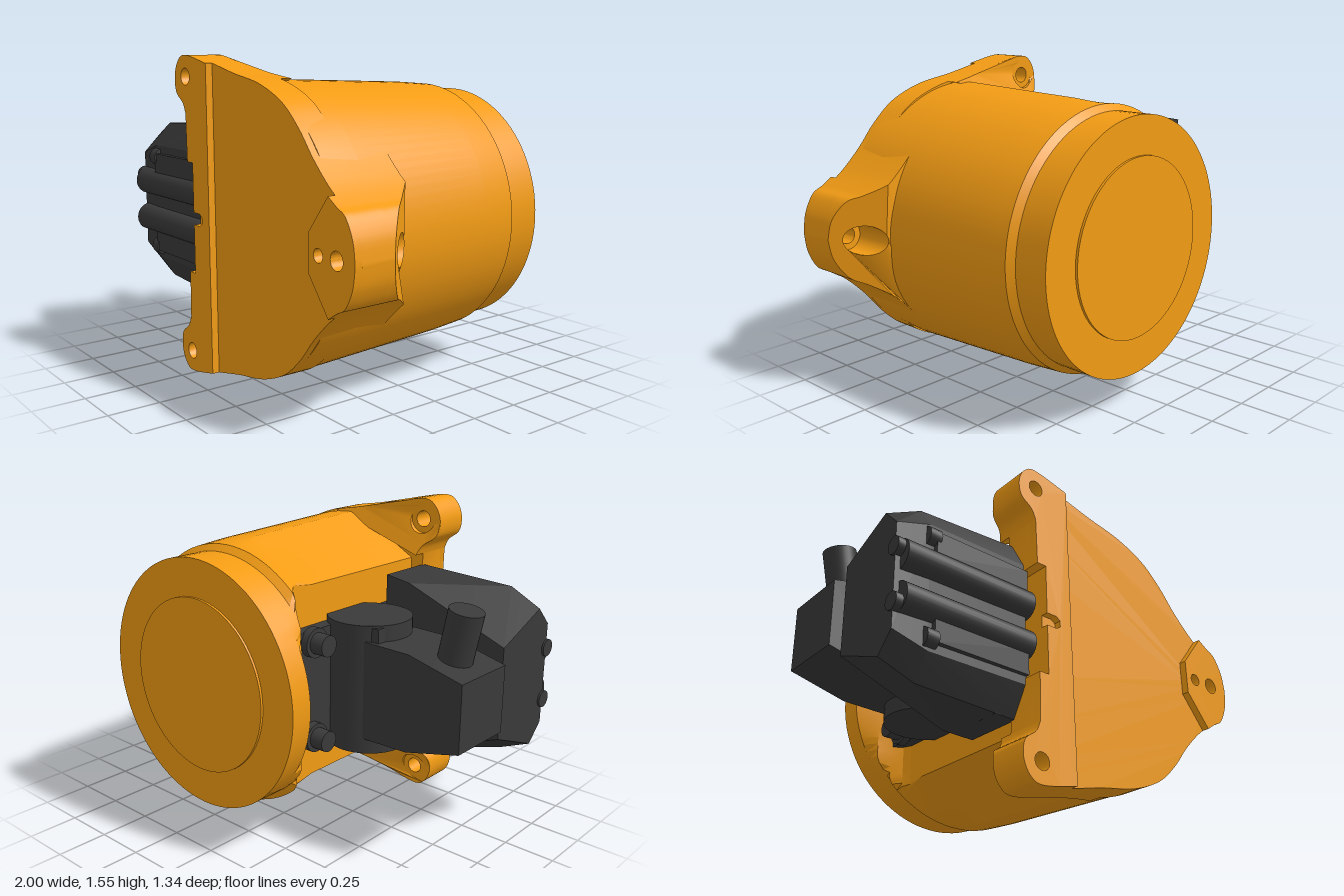
import * as THREE from 'three';
import { toCreasedNormals } from 'three/addons/utils/BufferGeometryUtils.js';
import { ConvexGeometry } from 'three/addons/geometries/ConvexGeometry.js';

const CX = 0.14, CY = 0.78; // drum axis, along z
const V = (p) => new THREE.Vector2(p[0], p[1]);
const mirrorY = ([x, y, ...z]) => [x, 2 * CY - y, ...z];

export function createModel() {
  const group = new THREE.Group();
  const orange = new THREE.MeshStandardMaterial({ color: 0xf39c14 });
  const dark = new THREE.MeshStandardMaterial({ color: 0x3a3a3a });

  const add = (name, geo, mat, crease = 0.5) => {
    const mesh = new THREE.Mesh(toCreasedNormals(geo, crease), mat);
    mesh.name = name;
    group.add(mesh);
  };

  // Outline extruded along z, with round holes [x, y, r] and an optional rule for the back face
  const slab = (name, pts, z0, z1, mat, holes = [], backZ = null) => {
    const shape = new THREE.Shape(pts.map(V));
    for (const [x, y, r] of holes) {
      shape.holes.push(new THREE.Path().absarc(x, y, r, 0, Math.PI * 2, true));
    }
    const geo = new THREE.ExtrudeGeometry(shape, { depth: z1 - z0, bevelEnabled: false, curveSegments: 16 });
    geo.translate(0, 0, z0);
    if (backZ) {
      const p = geo.attributes.position;
      for (let i = 0; i < p.count; i++) {
        if (p.getZ(i) < z0 + 0.001) p.setZ(i, Math.min(backZ(p.getX(i), p.getY(i)), z1 - 0.001));
      }
    }
    add(name, geo, mat);
  };

  // Cylinder lying along x
  const rod = (name, x0, x1, y, z, r, mat) => {
    const geo = new THREE.CylinderGeometry(r, r, x1 - x0, 24);
    geo.rotateZ(Math.PI / 2);
    geo.translate((x0 + x1) / 2, y, z);
    add(name, geo, mat);
  };

  const box = (name, x0, x1, y0, y1, z0, z1, mat) => {
    const geo = new THREE.BoxGeometry(x1 - x0, y1 - y0, z1 - z0);
    geo.translate((x0 + x1) / 2, (y0 + y1) / 2, (z0 + z1) / 2);
    add(name, geo, mat);
  };

  // Drum: round at the back, flattened on the motor side. Rings: z, radius, left limit, flattening
  const rings = [
    [-0.66, 0, -0.46, 0], [-0.66, 0.6, -0.46, 0], [-0.55, 0.6, -0.46, 0], [-0.49, 0.6, -0.35, 0],
    [-0.46, 0.63, -0.29, 0], [-0.42, 0.633, -0.24, 0.3], [-0.38, 0.636, -0.22, 0.6],
    [-0.28, 0.643, -0.22, 1], [0.42, 0.67, -0.22, 1], [0.6, 0.665, -0.22, 1], [0.6, 0, -0.22, 1],
  ];
  const N = 96, pos = [], idx = [];
  rings.forEach(([z, r, xMin, k], i) => {
    for (let j = 0; j <= N; j++) {
      const t = (j / N) * Math.PI * 2;
      const x = Math.max(CX + r * Math.cos(t), xMin);
      let h = Math.abs(r * Math.sin(t));
      if (x < CX) {
        const limit = r - ((CX - x) / 0.36) * (r - 0.47);
        h += (Math.min(h, limit) - h) * k;
      }
      pos.push(x, CY + Math.sign(Math.sin(t)) * h, z);
      if (i && j) {
        const c = i * (N + 1) + j, a = c - N - 1;
        idx.push(a - 1, a, c - 1, a, c, c - 1);
      }
    }
  });
  const drum = new THREE.BufferGeometry();
  drum.setAttribute('position', new THREE.Float32BufferAttribute(pos, 3));
  drum.setIndex(idx);
  add('drum', drum, orange, 0.35);

  const cover = new THREE.CylinderGeometry(0.42, 0.42, 0.02, 64);
  cover.rotateX(Math.PI / 2);
  cover.translate(CX, CY, -0.662);
  add('rearCover', cover, orange);

  // Flange outline: upper half as a curve, then mirrored
  const upper = new THREE.SplineCurve([
    [1, 0.78], [0.985, 0.875], [0.94, 0.96], [0.885, 0.992], [0.82, 1.035], [0.76, 1.085], [0.68, 1.165],
    [0.59, 1.27], [0.47, 1.37], [0.3, 1.44], [0.1, 1.478], [-0.09, 1.52], [-0.28, 1.556], [-0.35, 1.53],
    [-0.385, 1.46], [-0.375, 1.38], [-0.315, 1.33], [-0.29, 1.28],
  ].map(V)).getPoints(102).map((p) => [p.x, p.y]);
  upper.push([-0.285, 1.05], [-0.235, 1.05]);
  const mirrored = (pts) => [...pts, ...pts.map(mirrorY).reverse()];
  const outline = mirrored(upper).slice(0, -1);

  const ear = [-0.285, 1.455], tip = [0.885, CY];
  const earHoles = [[...ear, 0.04], [...mirrorY(ear), 0.04]];
  const tipHoles = [[...tip, 0.04], [0.765, CY, 0.03]];
  slab('flangePlate', outline, 0.48, 0.635, orange, [...earHoles, ...tipHoles]);

  // Raised seats on the flange face; the ear seat has a small open slot
  const slot = [[-0.235, 0.81], [-0.18, 0.81], [-0.158, 0.795]];
  slab('earSeat', mirrored([...upper.filter((p) => p[0] < -0.085), ...slot]), 0.635, 0.67, orange, earHoles);
  const tipUpper = upper.filter((p) => p[0] > 0.82).slice(1);
  slab('tipSeat', mirrored([...tipUpper, [0.7, 0.865]]), 0.635, 0.67, orange, tipHoles);

  // Sloping backs of the tip and ears, with counterbores
  slab('tipGusset', outline.filter((p) => p[0] > 0.66), 0.2, 0.481, orange, [[...tip, 0.07]],
    (x) => Math.max(0.25, 0.24 + (x - 0.8) * 1.15));
  const earPts = upper.filter(([x, y]) => x < 0.25 && y > 1.25);
  const earBack = (x, y) => -0.102 - 0.123 * x + 0.377 * y;
  slab('upperEarGusset', earPts, 0.4, 0.481, orange, [[...ear, 0.07]], earBack);
  slab('lowerEarGusset', earPts.map(mirrorY).reverse(), 0.4, 0.481, orange, [[...mirrorY(ear), 0.07]],
    (x, y) => earBack(x, 2 * CY - y));

  // Motor mounting plate and its bolts
  box('motorPlate', -0.285, -0.21, 0.5, 1.06, -0.45, 0.48, dark);
  for (const y of [0.55, 1.01]) {
    rod('plateBolt', -0.39, -0.28, y, -0.35, 0.05, dark);
    rod('plateBoltWasher', -0.32, -0.28, y, -0.35, 0.07, dark);
  }
  box('motorCore', -0.44, -0.28, 0.5, 1.06, -0.15, 0.4, dark);

  // Motor housing: faceted block, its rear outer corners cut diagonally
  const corners = [
    [-0.28, 1.22, 0.2], [-0.28, 1.22, 0.5], [-0.28, 1.08, 0.575],
    [-0.43, 1.205, 0.18], [-0.8, 1.195, 0.49], [-0.8, 1.08, 0.57],
    [-0.965, 1.12, 0.47], [-0.965, 1.03, 0.56], [-0.965, 1.0, 0.17],
  ];
  add('motorHousing', new ConvexGeometry(
    [...corners, ...corners.map(mirrorY)].map((p) => new THREE.Vector3(...p))), dark, 0.2);
  box('motorFoot', -0.39, -0.28, 0.345, 0.44, 0.36, 0.5, dark);

  // Ribs and tie bars along the front of the motor
  for (const s of [-1, 1]) {
    rod('tieBar', -0.94, -0.26, CY + s * 0.1, 0.555, 0.072, dark);
    rod('tieBolt', -0.975, -0.93, CY + s * 0.13, 0.56, 0.042, dark);
    rod('cornerBolt', -0.82, -0.76, CY + s * 0.24, 0.56, 0.045, dark);
    box('sideRib', -0.78, -0.28, CY + s * 0.2 - 0.06, CY + s * 0.2 + 0.06, 0.5, 0.595, dark);
  }

  // Round hub and connector housing behind the motor
  const hub = new THREE.CylinderGeometry(0.2, 0.2, 0.62, 40);
  hub.translate(-0.37, CY, -0.04);
  add('hub', hub, dark);
  slab('connectorHousing', mirrored([[-0.28, 1.02], [-0.72, 1.01], [-1, 0.94]]), -0.21, 0.13, dark);
  for (const z of [-0.19, -0.07]) box('clip', -0.54, -0.42, 1.0, 1.08, z, z + 0.08, dark);

  // Cable socket, leaning slightly outward
  const socket = new THREE.CylinderGeometry(0.08, 0.08, 0.26, 28);
  socket.rotateZ(0.2);
  socket.translate(-0.87, 1.08, -0.04);
  add('cableSocket', socket, dark);

  return group;
}
